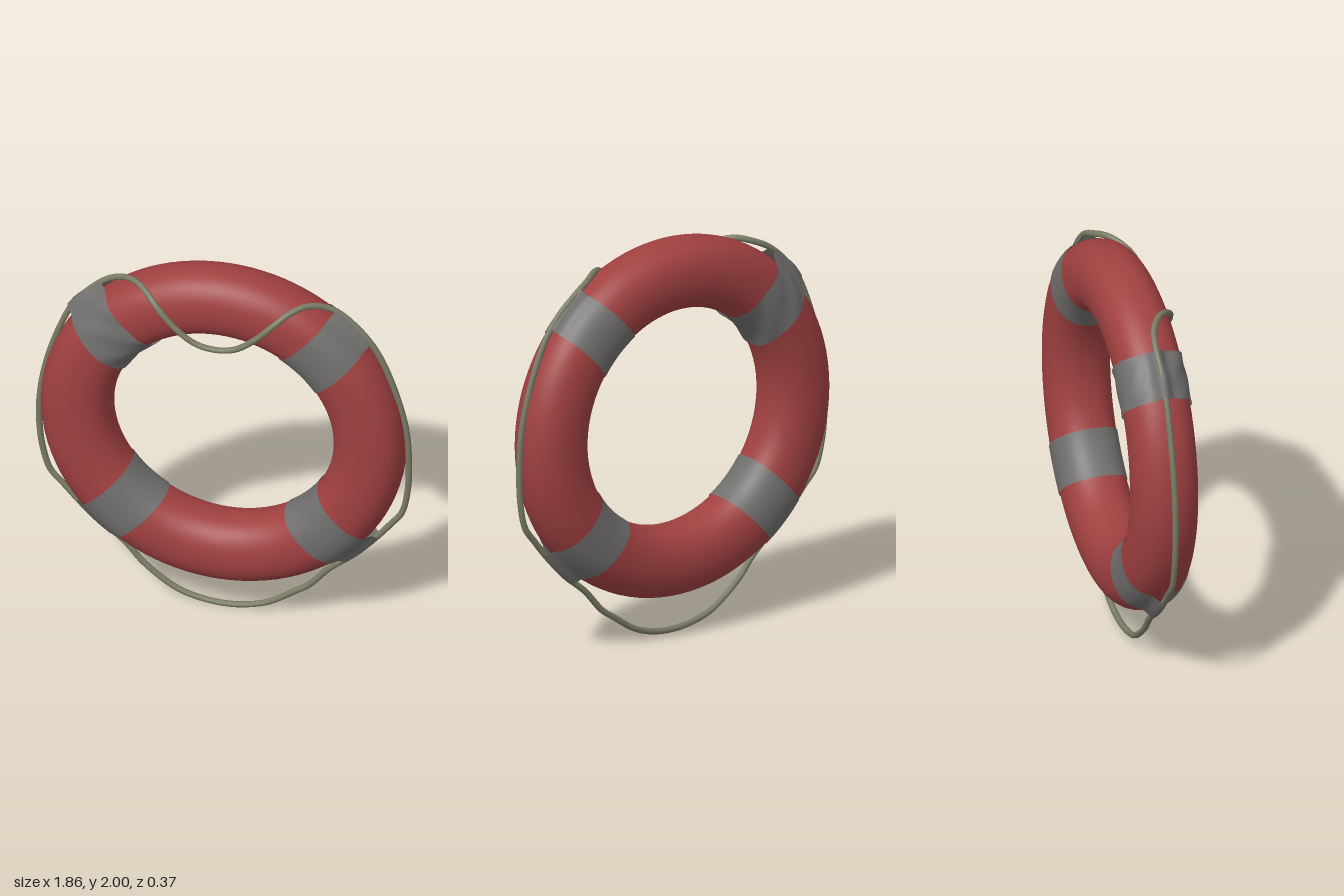
import * as THREE from 'three';

const CY = 1.1, CZ = -0.015, R = 0.725;   // ring centre and mean radius

// Slightly squared oval cross-section: [radial, axial] offset at angle a
function section(a, grow = 0) {
  const f = (v) => Math.sign(v) * Math.pow(Math.abs(v), 0.9);
  return [(0.175 + grow) * f(Math.cos(a)), (0.16 + grow) * f(Math.sin(a))];
}

// Straight-sided band wrapped round the ring, raised outside into a rope sleeve
function bandGeometry(angle, wrinkle) {
  const N = 112, M = 12, width = 0.24, pos = [], idx = [];
  const ca = Math.cos(angle), sa = Math.sin(angle);
  for (let i = 0; i < N; i++) {
    const a = (i / N) * Math.PI * 2;
    const near = a > Math.PI ? a - Math.PI * 2 : a;
    const sleeve = 0.046 * Math.exp(-((near / 0.16) ** 2));
    for (let j = 0; j <= M; j++) {
      const t = (j / M - 0.5) * width;
      const fold = wrinkle * (1 + Math.sin(a * 5 + t * 22) * Math.cos(t * 14 + a));
      const [dr, z] = section(a, 0.005 + fold);
      const r = R + dr + sleeve, n = Math.sqrt(r * r - t * t);
      pos.push(ca * n - sa * t, sa * n + ca * t, z);
      if (j < M) {
        const p = i * (M + 1) + j, q = ((i + 1) % N) * (M + 1) + j;
        idx.push(p, p + 1, q, p + 1, q + 1, q);
      }
    }
  }
  const g = new THREE.BufferGeometry();
  g.setAttribute('position', new THREE.Float32BufferAttribute(pos, 3));
  g.setIndex(idx);
  g.computeVertexNormals();
  return g;
}

export function createModel() {
  const red = new THREE.MeshStandardMaterial({ color: 0xa04040 });
  red.name = 'buoyRed';
  const grey = new THREE.MeshStandardMaterial({ color: 0x706e6d, side: THREE.DoubleSide });
  grey.name = 'bandGrey';
  const olive = new THREE.MeshStandardMaterial({ color: 0x787a64 });
  olive.name = 'ropeOlive';

  const group = new THREE.Group();
  group.name = 'lifebuoy';
  const add = (name, geometry, material) => {
    const mesh = new THREE.Mesh(geometry, material);
    mesh.name = name;
    group.add(mesh);
    return mesh;
  };

  // Ring
  const profile = [];
  for (let i = 0; i <= 48; i++) {
    const [r, z] = section((i / 48) * Math.PI * 2 + Math.PI);
    profile.push(new THREE.Vector2(R + r, z));
  }
  const ring = add('ring', new THREE.LatheGeometry(profile, 96).rotateX(Math.PI / 2), red);
  ring.position.set(0, CY, CZ);

  // Four bands; the upper right-hand one is creased
  const bands = [
    ['upperLeftBand', 46.5, 0], ['upperRightBand', 137, 0.005],
    ['lowerRightBand', 226.5, 0], ['lowerLeftBand', 317, 0],
  ];
  for (const [name, degrees, wrinkle] of bands) {
    const band = add(name, bandGeometry(THREE.MathUtils.degToRad(degrees), wrinkle), grey);
    band.position.set(0, CY, CZ);
  }

  // Grab rope: droops across the front at the top, then runs round the outside
  const front = [[0.1, 1.67, 0.165], [0.2, 1.745, 0.165], [0.29, 1.835, 0.148],
    [0.35, 1.88, 0.105], [0.42, 1.9, 0.05], [0.5, 1.88, 0.002]];
  const leftSide = [[0.57, 1.845], [0.68, 1.75], [0.76, 1.64], [0.84, 1.45], [0.9, 1.22],
    [0.915, 1.05], [0.91, 0.85], [0.88, 0.71], [0.83, 0.64], [0.76, 0.55], [0.68, 0.46],
    [0.6, 0.385], [0.52, 0.315], [0.42, 0.2], [0.35, 0.15], [0.22, 0.063], [0.1, 0.025]];
  const rightSide = [[-0.12, 0.028], [-0.24, 0.068], [-0.4, 0.19], [-0.48, 0.285], [-0.55, 0.35],
    [-0.63, 0.415], [-0.71, 0.49], [-0.79, 0.58], [-0.86, 0.66], [-0.89, 0.75], [-0.91, 0.87],
    [-0.915, 1.05], [-0.89, 1.25], [-0.83, 1.47], [-0.75, 1.66], [-0.68, 1.75], [-0.58, 1.84]];
  const points = [
    [0, 1.65, 0.165], ...front, ...leftSide, [0, 0.016],
    ...rightSide, ...front.map(([x, y, z]) => [-x, y, z]).reverse(),
  ].map(([x, y, z = CZ]) => new THREE.Vector3(x, y, z));
  const path = new THREE.CatmullRomCurve3(points, true, 'centripetal');
  add('grabRope', new THREE.TubeGeometry(path, 260, 0.0155, 10, true), olive);

  return group;
}
